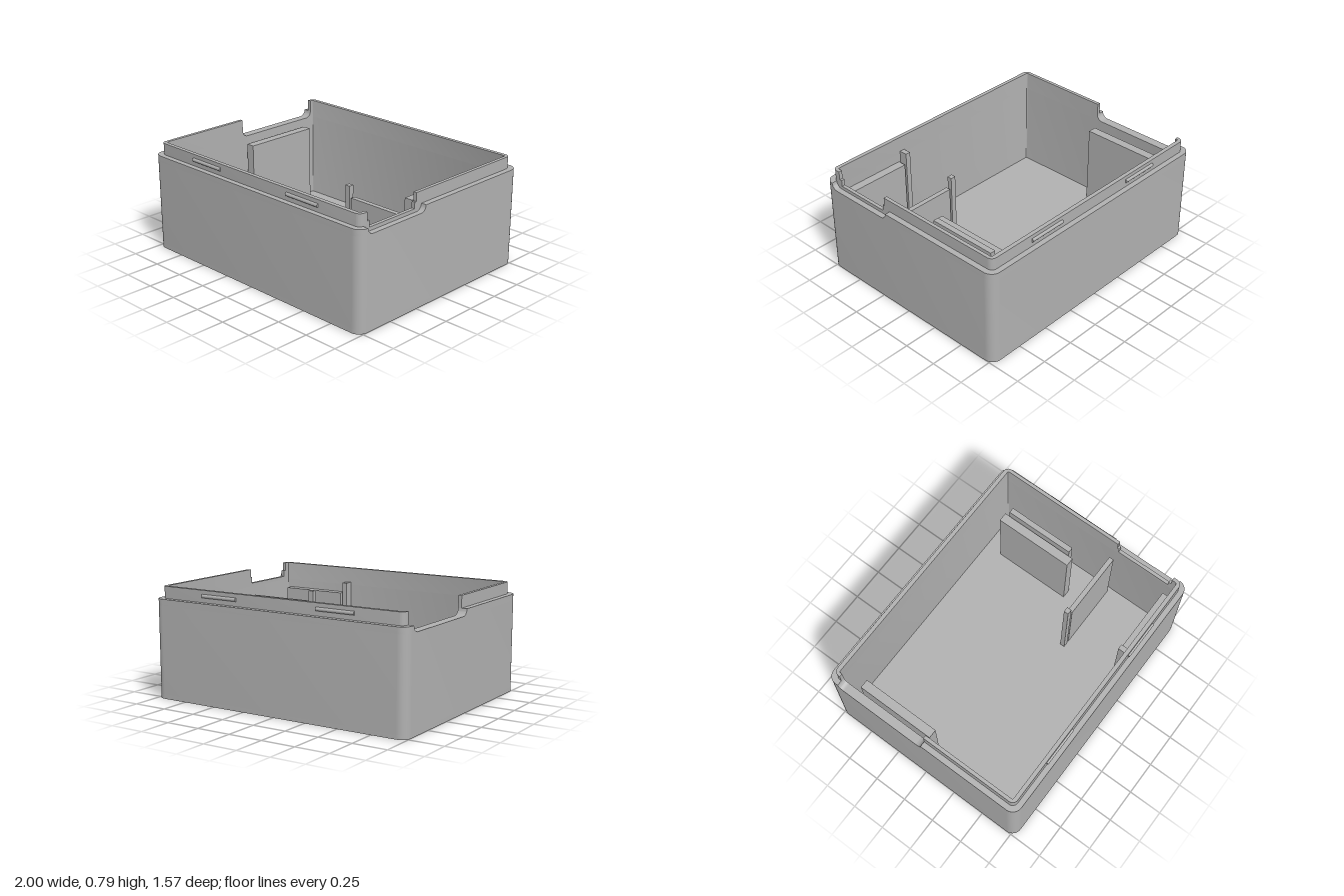
import * as THREE from 'three';
import { toCreasedNormals } from 'three/addons/utils/BufferGeometryUtils.js';

export function createModel() {
  const model = new THREE.Group();
  const grey = new THREE.MeshStandardMaterial({ color: 0xb0b0b0 });
  grey.name = 'plain grey';

  const add = (name, geometry) => {
    const mesh = new THREE.Mesh(geometry, grey);
    mesh.name = name;
    model.add(mesh);
    return mesh;
  };

  // Box given by its lower and upper limits on each axis
  const block = (name, x0, x1, y0, y1, z0, z1) => {
    const geometry = new THREE.BoxGeometry(x1 - x0, y1 - y0, z1 - z0);
    add(name, geometry.translate((x0 + x1) / 2, (y0 + y1) / 2, (z0 + z1) / 2));
  };

  // Plan shape raised from y0 to y1
  const raise = (name, shape, y0, y1) => {
    const geometry = new THREE.ExtrudeGeometry(shape, { depth: y1 - y0, bevelEnabled: false, curveSegments: 10 });
    geometry.rotateX(-Math.PI / 2).translate(0, y0, 0);
    add(name, toCreasedNormals(geometry, 0.6));
  };

  const arc = (cx, cy, r, from, to) => {
    const points = [];
    for (let i = 0; i <= 10; i++) {
      const a = from + (to - from) * i / 10;
      points.push(new THREE.Vector2(cx + r * Math.cos(a), cy + r * Math.sin(a)));
    }
    return points;
  };

  const roundedRect = (hx, hz, r) => [
    ...arc(hx - r, hz - r, r, 0, Math.PI / 2),
    ...arc(-hx + r, hz - r, r, Math.PI / 2, Math.PI),
    ...arc(-hx + r, -hz + r, r, Math.PI, Math.PI * 1.5),
    ...arc(hx - r, -hz + r, r, Math.PI * 1.5, Math.PI * 2),
  ];

  // Half of a rim, running around the front (side 1) or back (side -1)
  // between a cut at zRight on the +x wall and zLeft on the -x wall
  const halfRim = (outer, inner, side, zRight, zLeft) => {
    const run = ([hx, hz, r]) => [
      new THREE.Vector2(hx, zRight * side),
      ...arc(hx - r, hz - r, r, 0, Math.PI / 2),
      ...arc(-hx + r, hz - r, r, Math.PI / 2, Math.PI),
      new THREE.Vector2(-hx, zLeft * side),
    ];
    const points = [...run(outer), ...run(inner).reverse()];
    return new THREE.Shape(points.map(p => new THREE.Vector2(p.x, -p.y * side)));
  };

  const OUTER = [1, 0.785, 0.07];
  const LIP = [0.96, 0.747, 0.04];
  const INNER = [0.935, 0.718, 0.01];
  const NOTCH = 0.66, RIM = 0.705, TOP = 0.79;

  // Floor and lower walls
  raise('floor', new THREE.Shape(roundedRect(...OUTER)), 0, 0.03);
  const wall = new THREE.Shape(roundedRect(...OUTER));
  wall.holes.push(new THREE.Path(roundedRect(...INNER)));
  raise('lowerWall', wall, 0.03, NOTCH);

  // Shoulder and raised lip, both interrupted by the side notches
  raise('frontShoulder', halfRim(OUTER, LIP, 1, 0.715, 0.01), NOTCH, RIM);
  raise('backShoulder', halfRim(OUTER, LIP, -1, 0.18, -0.695), NOTCH, RIM);
  raise('frontLip', halfRim(LIP, INNER, 1, 0.68, 0.01), NOTCH, TOP);
  raise('backLip', halfRim(LIP, INNER, -1, 0.23, -0.695), NOTCH, TOP);

  // Curved lower corners of the notches
  const fillet = (x0, x1, z, dir) => {
    const r = 0.045;
    const shape = new THREE.Shape([
      new THREE.Vector2(z, NOTCH),
      ...arc(z + dir * r, NOTCH + r, r, -Math.PI / 2, dir > 0 ? -Math.PI : 0),
    ]);
    const geometry = new THREE.ExtrudeGeometry(shape, { depth: x1 - x0, bevelEnabled: false });
    geometry.rotateY(-Math.PI / 2).translate(x1, 0, 0);
    add('notchFillet', toCreasedNormals(geometry, 0.6));
  };
  fillet(-1, -0.935, -0.695, 1);
  fillet(-1, -0.935, 0.01, -1);
  fillet(0.96, 1, 0.18, 1);
  fillet(0.96, 1, 0.715, -1);

  // Low lip and steps within the +x notch
  block('notchSill', 0.935, 0.96, NOTCH, 0.685, 0.23, 0.68);
  block('notchStep', 0.935, 0.96, 0.685, 0.73, 0.66, 0.68);
  block('notchStep', 0.935, 0.96, 0.685, 0.73, 0.23, 0.245);

  // Snap ridges on the front and back of the lip
  for (const x of [-0.4625, 0.4625]) {
    for (const z of [-0.747, 0.747]) {
      const ridge = new THREE.CylinderGeometry(0.013, 0.013, 0.285, 16);
      add('snapRidge', ridge.rotateZ(Math.PI / 2).translate(x, 0.75, z));
    }
  }

  // Inner partitions
  block('leftPartition', 0.665, 0.73, 0.03, 0.61, -0.59, 0);
  block('rightPartition', -0.9, -0.835, 0.03, 0.61, -0.59, 0);
  block('thinPartition', 0.74, 0.78, 0.03, 0.65, -0.56, 0.04 - 0.08);

  // Front bay dividers with their stop posts
  for (const [z0, z1] of [[0.2, 0.235], [0.655, 0.717]]) {
    block('bayDivider', 0.4, 0.9, 0.03, 0.6, z0, z1);
    block('stopPost', 0.347, 0.385, 0.03, 0.68, z0, z1);
  }

  return model;
}
